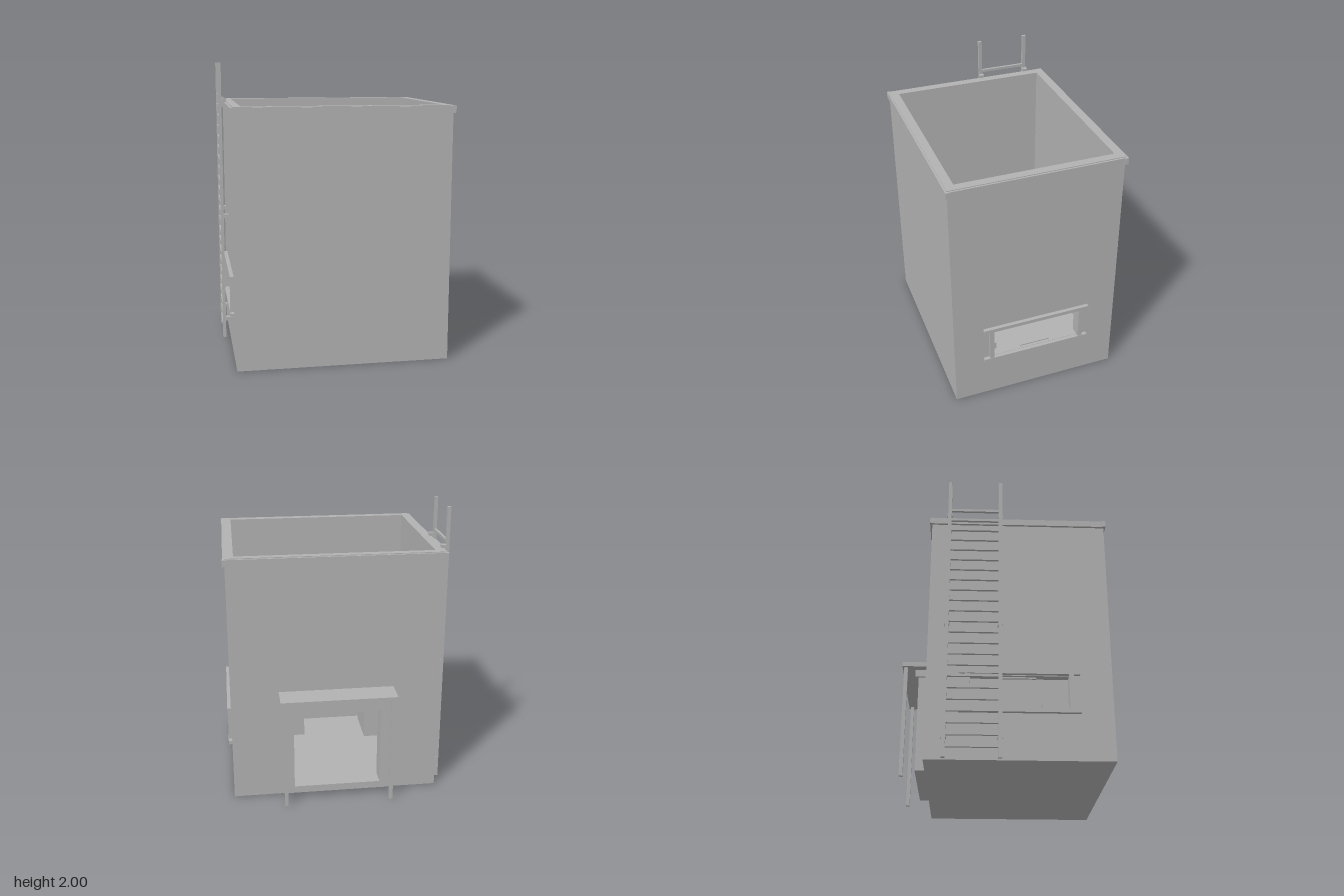
import * as THREE from 'three';

export function createModel() {
  const model = new THREE.Group();
  const grey = new THREE.MeshStandardMaterial({ color: 0xb2b2b2 });
  grey.name = 'plain grey';

  const group = (name) => {
    const g = new THREE.Group();
    g.name = name;
    model.add(g);
    return g;
  };
  const add = (parent, name, geometry) => {
    const mesh = new THREE.Mesh(geometry, grey);
    mesh.name = name;
    parent.add(mesh);
    return mesh;
  };
  // Box given by its limits on each axis
  const box = (parent, name, x0, x1, y0, y1, z0, z1) => {
    const mesh = add(parent, name, new THREE.BoxGeometry(x1 - x0, y1 - y0, z1 - z0));
    mesh.position.set((x0 + x1) / 2, (y0 + y1) / 2, (z0 + z1) / 2);
    return mesh;
  };
  // Wall panel with one rectangular opening
  const rect = (path, a0, a1, b0, b1) =>
    path.moveTo(a0, b0).lineTo(a1, b0).lineTo(a1, b1).lineTo(a0, b1).closePath();
  const panel = (a0, a1, b0, b1, hole, depth) => {
    const shape = new THREE.Shape();
    rect(shape, a0, a1, b0, b1);
    const path = new THREE.Path();
    rect(path, ...hole);
    shape.holes.push(path);
    return new THREE.ExtrudeGeometry(shape, { depth, bevelEnabled: false });
  };

  // Main shell: outer and inner limits
  const X0 = -0.705, X1 = 0.73, Z0 = -0.505, Z1 = 0.672, TOP = 1.73;
  const x0 = -0.65, x1 = 0.672, z0 = -0.455, z1 = 0.612;
  const shell = group('building shell');
  box(shell, 'floor', x0, x1, 0, 0.02, z0, z1);
  box(shell, 'frontWall', x0, x1, 0, TOP, z1, Z1);
  const backWall = add(shell, 'backWall', panel(x0, x1, 0, TOP, [-0.29, 0.31, 0.09, 0.64], z0 - Z0));
  backWall.position.z = Z0;
  const opening = [-0.23, 0.395, 0.332, 0.557];
  for (const [name, outer, inner] of [['leftWall', X1, x1], ['rightWall', x0, X0]]) {
    const wall = add(shell, name, panel(Z0, Z1, 0, TOP, opening, outer - inner).rotateY(-Math.PI / 2));
    wall.position.x = outer;
  }

  // Coping strip around the top edge
  const coping = group('coping');
  box(coping, 'copingFront', -0.727, 0.747, 1.68, 1.725, 0.66, 0.684);
  box(coping, 'copingBack', -0.727, 0.747, 1.68, 1.725, -0.52, -0.495);
  box(coping, 'copingLeft', 0.72, 0.742, 1.68, 1.725, -0.495, 0.66);
  box(coping, 'copingRight', -0.722, -0.7, 1.68, 1.725, -0.495, 0.66);

  // Side windows: trim outside, thin lining and slide rails in the opening
  for (const [name, face, s] of [['left window', X1, 1], ['right window', X0, -1]]) {
    const g = group(name);
    g.position.x = face;
    const part = (n, a, b, ...rest) => box(g, n, Math.min(a * s, b * s), Math.max(a * s, b * s), ...rest);
    part('headTrim', 0, 0.026, 0.562, 0.588, -0.3, 0.465);
    part('sillTrim', 0, 0.026, 0.305, 0.33, -0.3, 0.465);
    part('frontTrim', 0, 0.024, 0.33, 0.562, 0.395, 0.425);
    part('backTrim', 0, 0.024, 0.33, 0.562, -0.26, -0.23);
    part('topRail', -0.035, -0.02, 0.547, 0.557, -0.03, 0.19);
    part('bottomRail', -0.035, -0.02, 0.332, 0.34, -0.03, 0.19);
  }

  // Back doorway with stepped frame and a canopy on posts
  const door = group('doorway');
  box(door, 'jambLeft', 0.31, 0.37, 0.09, 0.69, -0.575, Z0);
  box(door, 'jambRight', -0.35, -0.29, 0.09, 0.69, -0.575, Z0);
  box(door, 'threshold', -0.35, 0.37, 0.04, 0.09, -0.575, Z0);
  box(door, 'lintel', -0.29, 0.31, 0.64, 0.69, -0.575, Z0);
  box(door, 'header', -0.365, 0.385, 0.69, 0.74, -0.597, Z0);
  box(door, 'canopy', -0.385, 0.405, 0.757, 0.788, -0.685, Z0);
  for (const x of [-0.355, 0.375])
    box(door, 'canopyPost', x - 0.012, x + 0.012, 0, 0.757, -0.674, -0.649);

  // Ladder on the right wall
  const ladder = group('ladder');
  for (const z of [-0.385, -0.04]) {
    box(ladder, 'stile', -0.76, -0.738, 0, 2, z - 0.012, z + 0.012);
    for (const y of [0.142, 0.91])
      box(ladder, 'bracket', -0.745, X0, y - 0.013, y + 0.013, z - 0.016, z + 0.016);
    box(ladder, 'topBracket', -0.745, -0.707, 1.725, 1.748, z - 0.016, z + 0.016);
  }
  for (let i = 0; i < 23; i++) {
    const y = 1.768 - i * 0.077;
    box(ladder, 'rung', -0.758, -0.74, y - 0.009, y + 0.009, -0.373, -0.052);
  }

  // Furnishings inside
  const room = group('furnishings');
  box(room, 'cabinet', -0.52, -0.317, 0.02, 0.46, 0.24, 0.575);
  box(room, 'cabinetHandle', -0.507, -0.328, 0.35, 0.36, 0.23, 0.24);
  box(room, 'table', 0.155, 0.613, 0.02, 0.325, 0.33, 0.535);
  add(room, 'roundPot', new THREE.CylinderGeometry(0.063, 0.063, 0.055, 32)).position.set(0.385, 0.3525, 0.432);
  box(room, 'counter', x0, -0.355, 0.02, 0.31, z0, -0.305);
  for (const x of [-0.583, -0.418])
    box(room, 'counterPlate', x - 0.025, x + 0.025, 0.31, 0.319, -0.405, -0.355);

  return model;
}
